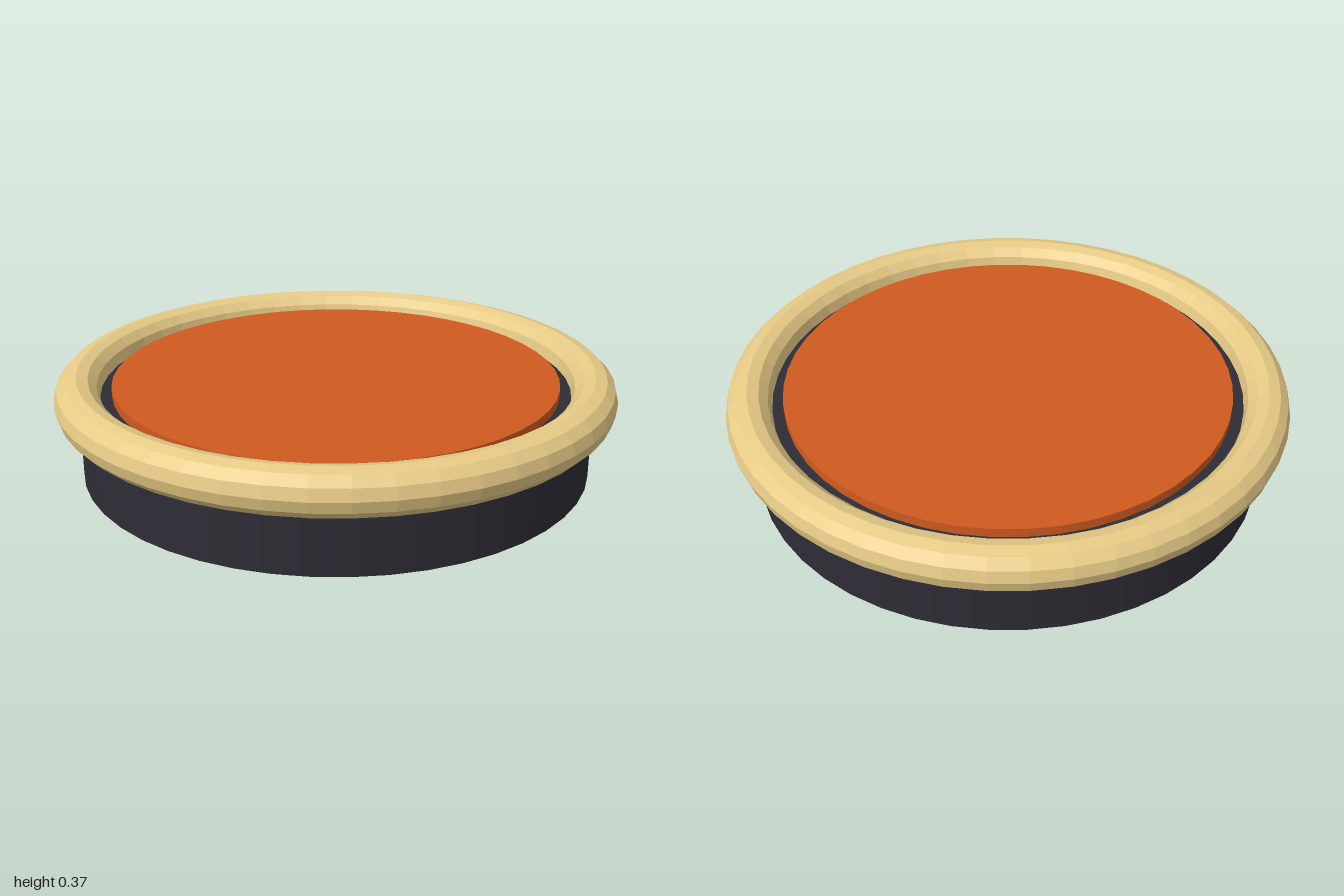
import * as THREE from 'three';

export function createModel() {
  const group = new THREE.Group();

  const add = (name, geometry, color, y, flatShading = false) => {
    const mesh = new THREE.Mesh(geometry, new THREE.MeshStandardMaterial({ color, flatShading }));
    mesh.name = name;
    mesh.position.y = y;
    group.add(mesh);
  };

  // Dark drum, its top level with the middle of the rim
  const baseHeight = 0.287;
  add('base', new THREE.CylinderGeometry(0.917, 0.917, baseHeight, 48), 0x2e2c35, baseHeight / 2);

  // Faceted rounded rim
  const rim = new THREE.TorusGeometry(0.92, 0.08, 12, 48).rotateX(Math.PI / 2);
  add('rim', rim, 0xe6ca86, baseHeight, true);

  // Raised disc inside the rim, sunk slightly into the drum
  const padHeight = 0.06;
  add('pad', new THREE.CylinderGeometry(0.8, 0.8, padHeight, 48), 0xcf5a20, 0.32 - padHeight / 2);

  return group;
}
